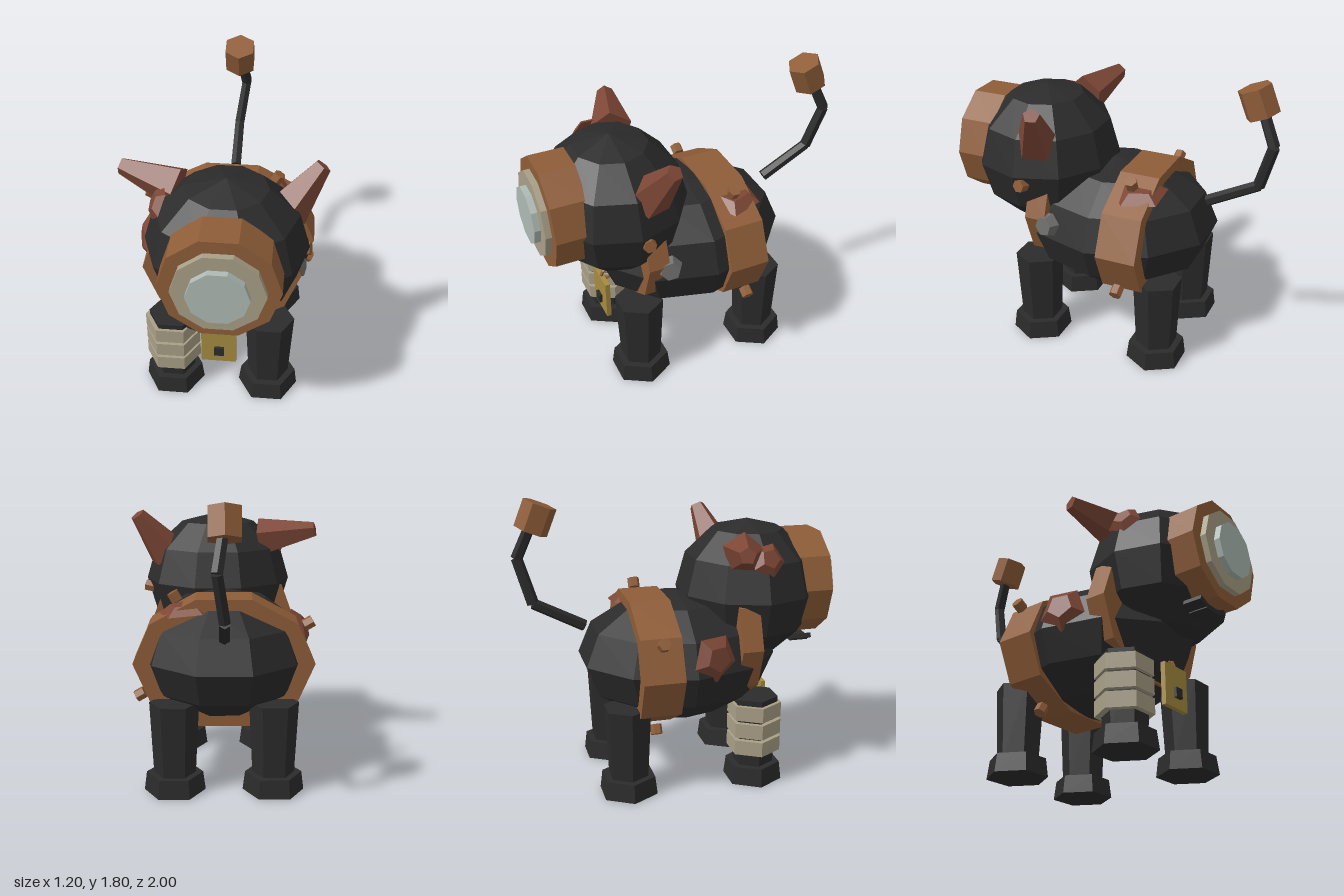
import * as THREE from 'three';

const mat = (name, color) => {
  const m = new THREE.MeshStandardMaterial({ color, flatShading: true });
  m.name = name;
  return m;
};

export function createModel() {
  const M = {
    black: mat('black', 0x2b2b2b),
    copper: mat('copper', 0x8f5d38),
    rust: mat('rust', 0x7d4736),
    cloth: mat('cloth', 0xa89f87),
    glass: mat('glass', 0xaebab4),
    brass: mat('brass', 0xa68b40),
    steel: mat('steel', 0x6e6f6d),
  };
  const model = new THREE.Group();
  model.name = 'mechanicalBeast';
  const V = (x, y, z) => new THREE.Vector3(x, y, z);
  const UP = V(0, 1, 0);

  const add = (name, geo, m, x, y, z, parent = model) => {
    const mesh = new THREE.Mesh(geo, m);
    mesh.name = name;
    mesh.position.set(x, y, z);
    parent.add(mesh);
    return mesh;
  };
  // tapered prism running from a to b
  const rod = (name, a, b, ra, rb, sides, m) => {
    const d = b.clone().sub(a), c = a.clone().add(b).multiplyScalar(0.5);
    const mesh = add(name, new THREE.CylinderGeometry(rb, ra, d.length(), sides), m, c.x, c.y, c.z);
    mesh.quaternion.setFromUnitVectors(UP, d.normalize());
    return mesh;
  };
  // prism centred on c with its axis along n
  const disc = (name, c, n, ra, rb, h, sides, m) => {
    const k = n.clone().normalize().multiplyScalar(h / 2);
    return rod(name, c.clone().sub(k), c.clone().add(k), ra, rb, sides, m);
  };
  const ball = (name, x, y, z, rx, ry, rz) =>
    add(name, new THREE.SphereGeometry(1, 10, 6).scale(rx, ry, rz), M.black, x, y, z);
  // ten-sided elliptical drum with its axis along z and corners on the x axis
  const drum = (name, x, y, z0, z1, rx, ry, m) => {
    const g = new THREE.CylinderGeometry(1, 1, z1 - z0, 10);
    g.rotateY(Math.PI / 2).rotateX(Math.PI / 2).scale(rx, ry, 1);
    return add(name, g, m, x, y, (z0 + z1) / 2);
  };
  const hex = (rt, rb, h) => new THREE.CylinderGeometry(rt, rb, h, 6).rotateY(Math.PI / 2);

  // body and head
  ball('body', 0, 0.78, 0, 0.535, 0.4, 0.63);
  ball('head', 0.037, 1.17, 0.47, 0.475, 0.44, 0.445);

  // single large eye: housing, rim and lens
  drum('eyeHousing', 0.037, 1.2, 0.71, 0.925, 0.34, 0.34, M.copper);
  drum('eyeRim', 0.037, 1.2, 0.88, 0.962, 0.262, 0.262, M.cloth);
  drum('eyeLens', 0.037, 1.2, 0.92, 1.0, 0.175, 0.175, M.glass);

  // mouth
  add('mouthMiddle', new THREE.BoxGeometry(0.14, 0.03, 0.12), M.black, -0.02, 0.832, 0.8);
  for (const s of [-1, 1]) {
    const m = add('mouthCorner', new THREE.BoxGeometry(0.08, 0.03, 0.12), M.black, -0.02 + s * 0.09, 0.848, 0.8);
    m.rotation.z = s * 0.4;
  }

  // ears
  rod('leftEar', V(0.37, 1.35, 0.37), V(0.557, 1.61, 0.295), 0.13, 0.05, 5, M.rust);
  rod('rightEar', V(-0.25, 1.45, 0.35), V(-0.59, 1.515, 0.26), 0.13, 0.05, 5, M.rust);

  // bands around belly and neck
  drum('bellyBand', 0, 0.78, -0.33, -0.08, 0.55, 0.412, M.copper);
  drum('collar', 0, 0.9, 0.29, 0.42, 0.475, 0.42, M.copper);

  // rivets
  for (let i = 0; i < 4; i++) {
    const a = Math.PI / 3 + i * Math.PI / 2, c = Math.cos(a), s = Math.sin(a);
    disc('bandRivet', V(0.595 * c, 0.78 + 0.45 * s, -0.205), V(c, s, 0), 0.038, 0.038, 0.06, 6, M.copper);
  }
  disc('collarRivet', V(0.49, 1.12, 0.425), V(1, 0.2, 0.2), 0.04, 0.04, 0.06, 6, M.copper);
  disc('steelBolt', V(0.46, 0.865, 0.285), V(0.95, 0.15, 0.25), 0.08, 0.06, 0.06, 6, M.steel);

  // rusty patches
  disc('backPatch', V(0.23, 1.105, -0.23), V(0.1, 1, 0), 0.175, 0.1, 0.05, 5, M.rust);
  disc('sidePatch', V(-0.5, 0.89, 0.12), V(-1, 0.12, 0.3), 0.15, 0.08, 0.05, 5, M.rust);
  disc('headPatch', V(-0.36, 1.43, 0.48), V(-0.9, 0.4, 0.15), 0.11, 0.06, 0.04, 5, M.rust);

  // legs and feet
  for (const x of [-0.3, 0.3]) {
    for (const z of [0.427, -0.382]) {
      const leg = new THREE.Group();
      leg.name = (z > 0 ? 'front' : 'rear') + (x > 0 ? 'Left' : 'Right') + 'Leg';
      leg.position.set(x, 0, z);
      model.add(leg);
      add('shank', hex(0.15, 0.127, 0.46), M.black, 0, 0.33, 0, leg);
      add('foot', hex(0.172, 0.187, 0.115), M.black, 0, 0.0575, 0, leg);
    }
  }

  // bandage wraps on the front right leg
  for (let i = 0; i < 3; i++) {
    add('bandage', hex(0.17, 0.17, 0.094), M.cloth, -0.305, 0.25 + i * 0.114, 0.427);
  }

  // hanging tag
  add('tag', new THREE.BoxGeometry(0.215, 0.26, 0.03), M.brass, -0.003, 0.43, 0.558);
  add('tagStud', new THREE.BoxGeometry(0.06, 0.06, 0.035), M.black, 0, 0.392, 0.575);
  add('tagRing', new THREE.TorusGeometry(0.035, 0.012, 5, 8).rotateY(Math.PI / 2), M.copper, 0, 0.565, 0.525);

  // jointed tail and its weighted tip
  const tail = [V(0, 1.0, -0.58), V(0, 1.16, -0.885), V(0.04, 1.435, -0.965), V(0.01, 1.62, -0.885)];
  for (let i = 0; i < 3; i++) {
    rod('tailSegment', tail[i], tail[i + 1], 0.036, 0.034, 6, M.black);
  }
  const tip = add('tailTip', new THREE.CylinderGeometry(0.103, 0.103, 0.17, 6), M.copper, 0, 1.68, -0.848);
  tip.rotation.x = 0.38;

  return model;
}
